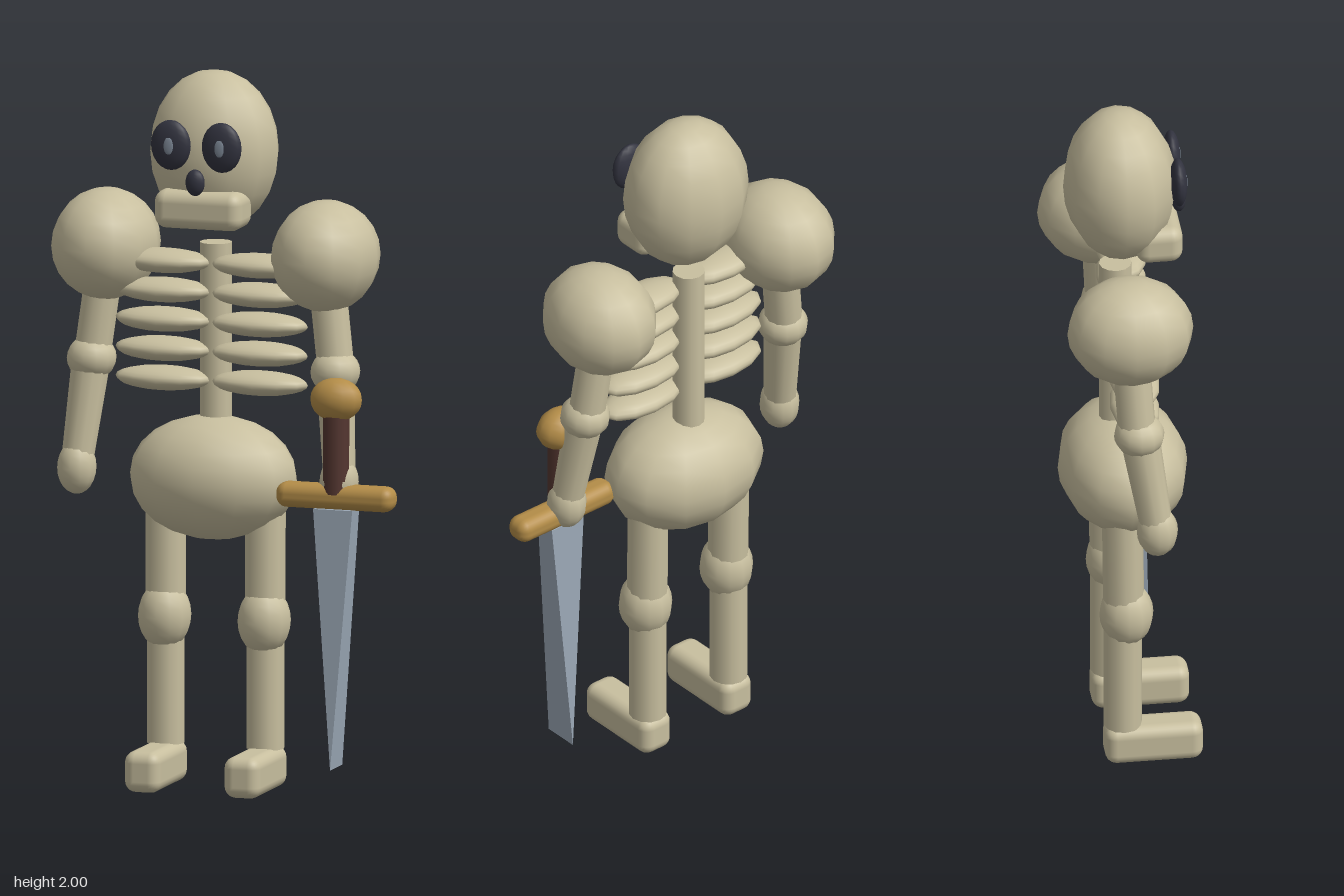
import * as THREE from 'three';
import { RoundedBoxGeometry } from 'three/addons/geometries/RoundedBoxGeometry.js';

const material = (name, color) => {
  const m = new THREE.MeshStandardMaterial({ color });
  m.name = name;
  return m;
};

export function createModel() {
  const bone = material('bone', 0xc8bf9f);
  const socket = material('dark socket', 0x32333f);
  const glint = material('eye glint', 0x7d8896);
  const steel = material('steel', 0x9ba8b6);
  const brass = material('brass', 0xb48d48);
  const leather = material('leather', 0x543630);

  const model = new THREE.Group();
  model.name = 'skeleton';
  const body = new THREE.Group();
  body.name = 'body';
  body.position.x = -0.045;
  model.add(body);

  const add = (parent, name, geometry, mat, [x, y, z]) => {
    const mesh = new THREE.Mesh(geometry, mat);
    mesh.name = name;
    mesh.position.set(x, y, z);
    parent.add(mesh);
    return mesh;
  };
  const ball = (parent, name, mat, pos, radii) =>
    add(parent, name, new THREE.SphereGeometry(1, 12, 12).scale(...radii), mat, pos);
  // Cylinder running from point a (radius ra) to point b (radius rb)
  const rod = (parent, name, mat, a, b, ra, rb = ra) => {
    const from = new THREE.Vector3(...a), to = new THREE.Vector3(...b);
    const dir = from.clone().sub(to);
    const mid = from.clone().add(to).multiplyScalar(0.5);
    const mesh = add(parent, name, new THREE.CylinderGeometry(ra, rb, dir.length(), 12), mat, mid.toArray());
    mesh.quaternion.setFromUnitVectors(new THREE.Vector3(0, 1, 0), dir.normalize());
    return mesh;
  };

  // Head
  ball(body, 'skull', bone, [0, 1.777, -0.008], [0.185, 0.223, 0.157]);
  add(body, 'jaw', new RoundedBoxGeometry(0.255, 0.108, 0.13, 3, 0.035), bone, [0, 1.628, 0.09]);
  ball(body, 'nose', socket, [0, 1.71, 0.156], [0.028, 0.037, 0.02]);

  // Trunk
  rod(body, 'spine', bone, [0, 1.517, -0.02], [0, 0.95, -0.02], 0.045);
  ball(body, 'pelvis', bone, [0, 0.863, 0], [0.243, 0.173, 0.18]);

  // Paired parts
  for (const [side, s] of [['left', 1], ['right', -1]]) {
    const half = new THREE.Group();
    half.name = side + 'Side';
    body.add(half);

    ball(half, 'eyeSocket', socket, [s * 0.074, 1.81, 0.146], [0.058, 0.07, 0.024]);
    ball(half, 'eyeGlint', glint, [s * 0.074, 1.81, 0.167], [0.015, 0.025, 0.004]);

    for (let i = 0; i < 5; i++) {
      ball(half, 'rib', bone, [s * 0.14, 1.463 - i * 0.082, 0.015], [0.14, 0.034, 0.068]);
    }

    // Arm
    ball(half, 'shoulder', bone, [s * 0.32, 1.495, -0.02], [0.15, 0.155, 0.175]);
    rod(half, 'upperArm', bone, [s * 0.325, 1.42, -0.02], [s * 0.355, 1.18, -0.005], 0.052);
    ball(half, 'elbow', bone, [s * 0.355, 1.177, 0], [0.07, 0.062, 0.07]);
    rod(half, 'forearm', bone, [s * 0.355, 1.18, 0], [s * 0.382, 0.89, 0.045], 0.055, 0.045);
    ball(half, 'hand', bone, [s * 0.382, 0.877, 0.047], [0.055, 0.075, 0.057]);

    // Leg
    const x = s * 0.145;
    rod(half, 'thigh', bone, [x, 0.86, -0.02], [x, 0.46, -0.015], 0.057);
    ball(half, 'knee', bone, [x, 0.468, -0.008], [0.075, 0.095, 0.075]);
    rod(half, 'shin', bone, [x, 0.47, -0.018], [x, 0.11, -0.018], 0.053);
    add(half, 'foot', new RoundedBoxGeometry(0.105, 0.115, 0.272, 3, 0.032), bone, [x, 0.0575, 0.066]);
  }

  // Sword, held point down
  const sword = new THREE.Group();
  sword.name = 'sword';
  sword.position.set(0.337, 0, 0.072);
  model.add(sword);
  ball(sword, 'pommel', brass, [0, 1.112, 0], [0.075, 0.06, 0.057]);
  rod(sword, 'grip', leather, [0, 1.09, 0], [0, 0.85, 0], 0.037);
  add(sword, 'guard', new RoundedBoxGeometry(0.342, 0.07, 0.077, 3, 0.03), brass, [0, 0.84, -0.004]);

  // Blade narrows to an edge in x while flaring in z toward the tip
  const blade = new THREE.BoxGeometry(0.114, 0.725, 0.06);
  const p = blade.attributes.position;
  for (let i = 0; i < p.count; i++) {
    if (p.getY(i) < 0) {
      p.setX(i, 0);
      p.setZ(i, Math.sign(p.getZ(i)) * 0.052);
    }
  }
  blade.computeVertexNormals();
  add(sword, 'blade', blade, steel, [0, 0.445, 0]);

  return model;
}
